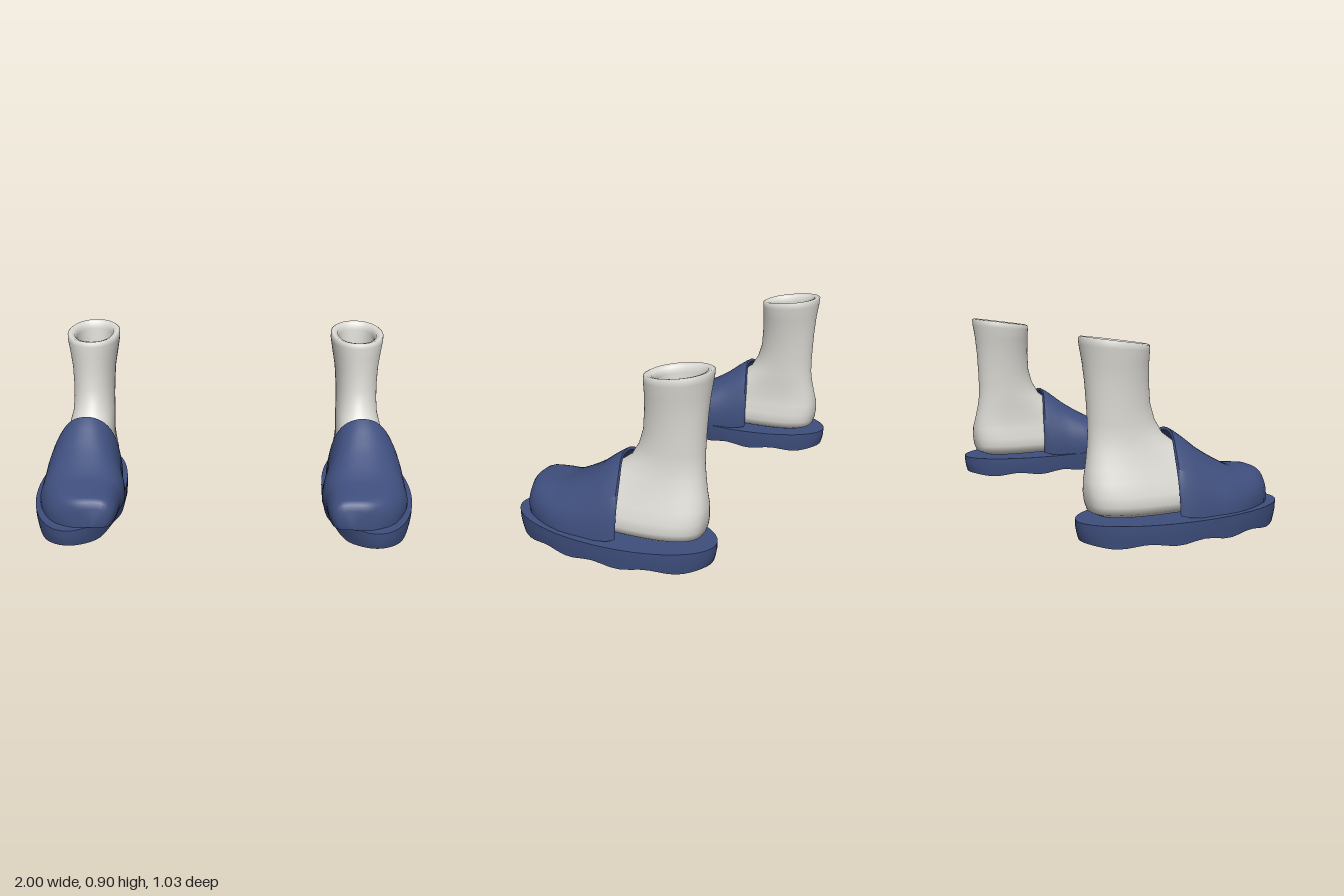
import * as THREE from 'three';
import { toCreasedNormals } from 'three/addons/utils/BufferGeometryUtils.js';

const blue = new THREE.MeshStandardMaterial({ color: 0x3f4f7e });
blue.name = 'slipperBlue';
const pale = new THREE.MeshStandardMaterial({ color: 0xdedcd6 });
pale.name = 'footPale';

// Skin a list of closed rings; side -1 mirrors in x and keeps the faces outward
function loft(rings, side, crease) {
  const n = rings[0].length, index = [];
  const pos = rings.flat().flatMap(([x, y, z]) => [x * side, y, z]);
  for (let i = 0; i < rings.length - 1; i++) {
    for (let j = 0; j < n; j++) {
      const k = (j + 1) % n;
      const a = i * n + j, b = i * n + k, c = b + n, d = a + n;
      if (side > 0) index.push(a, b, c, a, c, d);
      else index.push(a, c, b, a, d, c);
    }
  }
  const g = new THREE.BufferGeometry();
  g.setAttribute('position', new THREE.Float32BufferAttribute(pos, 3));
  g.setIndex(index);
  g.computeVertexNormals();
  return crease ? toCreasedNormals(g, crease) : g;
}

const spow = (v, p) => Math.sign(v) * Math.abs(v) ** p;

// Horizontal superellipse, used for the foot and the sole
function flatRing(y, back, front, cx, hw, n = 2, tilt = 0) {
  const ring = [], cz = (back + front) / 2, hz = (front - back) / 2;
  for (let j = 0; j < 64; j++) {
    const a = (j / 64) * Math.PI * 2;
    const u = -spow(Math.sin(a), 2 / n);
    ring.push([cx + hw * spow(Math.cos(a), 2 / n), y + tilt * (1 - u) / 2, cz + hz * u]);
  }
  return ring;
}

// Foot and ankle, from the underside up, over the rim and down inside
// y, back z, front z, centre x, half width, squareness, backward rise
const footRows = [
  [0.119, -0.2, -0.19, 0.75, 0.002, 2],
  [0.121, -0.405, 0.38, 0.75, 0.125, 2.7, -0.005],
  [0.138, -0.445, 0.42, 0.75, 0.152, 2.8, -0.003],
  [0.17, -0.457, 0.43, 0.75, 0.165, 2.8],
  [0.215, -0.464, 0.38, 0.748, 0.16, 2.7],
  [0.27, -0.465, 0.25, 0.745, 0.145, 2.5],
  [0.33, -0.454, 0.12, 0.738, 0.13, 2.3],
  [0.4, -0.442, 0, 0.728, 0.12, 2.2],
  [0.46, -0.437, -0.08, 0.722, 0.112, 2],
  [0.525, -0.437, -0.12, 0.72, 0.11, 2],
  [0.6, -0.44, -0.143, 0.718, 0.111, 2],
  [0.7, -0.446, -0.15, 0.715, 0.117, 2],
  [0.78, -0.455, -0.15, 0.712, 0.13, 2, 0.01],
  [0.835, -0.466, -0.15, 0.711, 0.14, 2.1, 0.03],
  [0.857, -0.469, -0.151, 0.711, 0.14, 2.1, 0.04],
  [0.863, -0.46, -0.162, 0.711, 0.13, 2.1, 0.04],
  [0.856, -0.438, -0.19, 0.711, 0.105, 2.2, 0.04],
  [0.83, -0.43, -0.2, 0.711, 0.095, 2.2, 0.03],
  [0.6, -0.41, -0.18, 0.718, 0.086, 2.1],
  [0.3, -0.41, -0.16, 0.735, 0.09, 2.2],
  [0.2, -0.4, -0.16, 0.74, 0.085, 2.2],
  [0.19, -0.28, -0.27, 0.74, 0.002, 2],
];

// Slipper upper, arched sections from the open back to the closed toe
// z, top y, inner x, outer x, side fullness, forward lean of the top, tuck at the hem
const upperRows = [
  [-0.097, 0.472, 0.572, 0.945, 0.92, 0.038, 0],
  [-0.091, 0.48, 0.562, 0.952, 0.92, 0.036, 0],
  [-0.06, 0.468, 0.555, 0.96, 0.92, 0.026, 0],
  [0, 0.437, 0.548, 0.966, 0.92, 0.01, 0],
  [0.07, 0.39, 0.536, 0.966, 0.9, 0, 0.01],
  [0.13, 0.352, 0.52, 0.966, 0.88, 0, 0.01],
  [0.19, 0.318, 0.512, 0.964, 0.84, 0, 0.02],
  [0.25, 0.287, 0.518, 0.95, 0.78, 0, 0.03],
  [0.29, 0.274, 0.526, 0.937, 0.73, 0, 0.04],
  [0.35, 0.264, 0.528, 0.91, 0.66, 0, 0.05],
  [0.4, 0.255, 0.532, 0.88, 0.62, 0, 0.06],
  [0.44, 0.249, 0.54, 0.84, 0.62, 0, 0.08],
  [0.465, 0.238, 0.555, 0.79, 0.62, 0, 0.1],
  [0.478, 0.208, 0.58, 0.75, 0.65, 0, 0.1],
  [0.48, 0.112, 0.665, 0.667, 1, 0, 0],
];

function upperRing([z, top, x0, x1, full, lean, tuck], i) {
  const steps = 32, cx = (x0 + x1) / 2, hw = (x1 - x0) / 2;
  const floor = 0.106 + 0.014 * THREE.MathUtils.smoothstep(-z, 0.03, 0.1);
  const wall = i === 0 ? 0.006 : 0.014;
  const arc = (t, zMax) => Array.from({ length: steps + 1 }, (_, j) => {
    const a = (j / steps) * Math.PI;
    const v = Math.sin(a) ** Math.min(1, full + 0.1);
    const fold = 1 + 0.012 * Math.sin(a * 7 + z * 16) * Math.sin(a) - tuck * (1 - v) ** 4;
    const w = Math.max(hw - t, 0.001) * fold;
    const h = Math.max(top - t - floor, 0.001);
    return [cx - 0.022 * v + w * spow(Math.cos(a), full), floor + h * v, Math.min(z + lean * v ** 5, zMax)];
  });
  const outer = arc(i === 0 ? wall : 0, 1);
  const inner = arc(wall, 0.464).reverse();
  return [...outer, ...inner];
}

// Oval sole with a rounded, wavy lower lip and a slightly hollow underside
function soleRings() {
  const rows = [[0.034, 0.01], [0.031, 0.7], [0.023, 0.88], [0.012, 0.945],
    [0.012, 0.972], [0.04, 0.987], [0.07, 0.998], [0.105, 1], [0.106, 0.01]];
  return rows.map(([y, r]) => {
    const ring = flatRing(y, -0.515 * r, 0.515 * r, 0.765, 0.235 * r);
    if (y === 0.012) {
      for (const p of ring) p[1] += 0.008 * Math.cos(p[2] * 24) - 0.004 * Math.abs(p[2]) / 0.5;
    }
    return ring;
  });
}

function part(name, geometry, material) {
  const mesh = new THREE.Mesh(geometry, material);
  mesh.name = name;
  return mesh;
}

export function createModel() {
  const model = new THREE.Group();
  model.name = 'slipperedFeet';
  for (const [label, side] of [['left', 1], ['right', -1]]) {
    const group = new THREE.Group();
    group.name = label + 'SlipperedFoot';
    group.add(
      part(label + 'Foot', loft(footRows.map((r) => flatRing(...r)), side), pale),
      part(label + 'SlipperUpper', loft(upperRows.map(upperRing), side, 1.1), blue),
      part(label + 'Sole', loft(soleRings(), side, 0.7), blue),
    );
    model.add(group);
  }
  return model;
}
